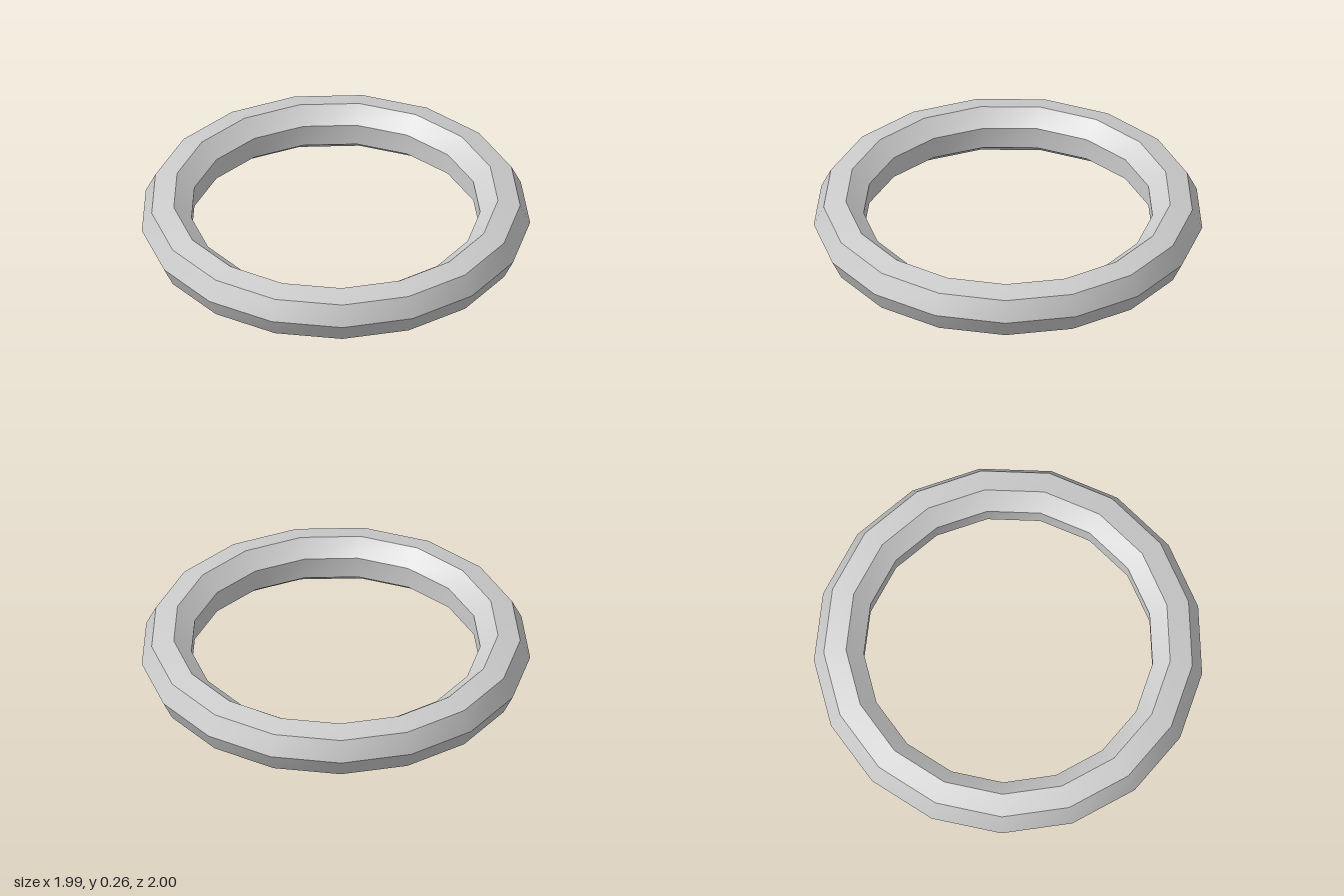
import * as THREE from 'three';
import { toCreasedNormals } from 'three/addons/utils/BufferGeometryUtils.js';

export function createModel() {
  const group = new THREE.Group();
  group.name = 'ringModel';

  // Flat-lying ring: seven-sided section swept around seventeen segments
  const outerRadius = 1.0043;
  const tubeRadius = 0.1355;
  const torus = new THREE.TorusGeometry(outerRadius - tubeRadius, tubeRadius, 7, 17);
  torus.rotateX(-Math.PI / 2);

  // Centre the odd-sided ring and stand it on the floor
  torus.computeBoundingBox();
  const { min, max } = torus.boundingBox;
  torus.translate(-(min.x + max.x) / 2, -min.y, -(min.z + max.z) / 2);

  // Smooth around the ring, sharp along the section edges
  const ring = new THREE.Mesh(
    toCreasedNormals(torus, 0.6),
    new THREE.MeshStandardMaterial({ color: 0xcccccc })
  );
  ring.name = 'ring';
  group.add(ring);
  return group;
}
